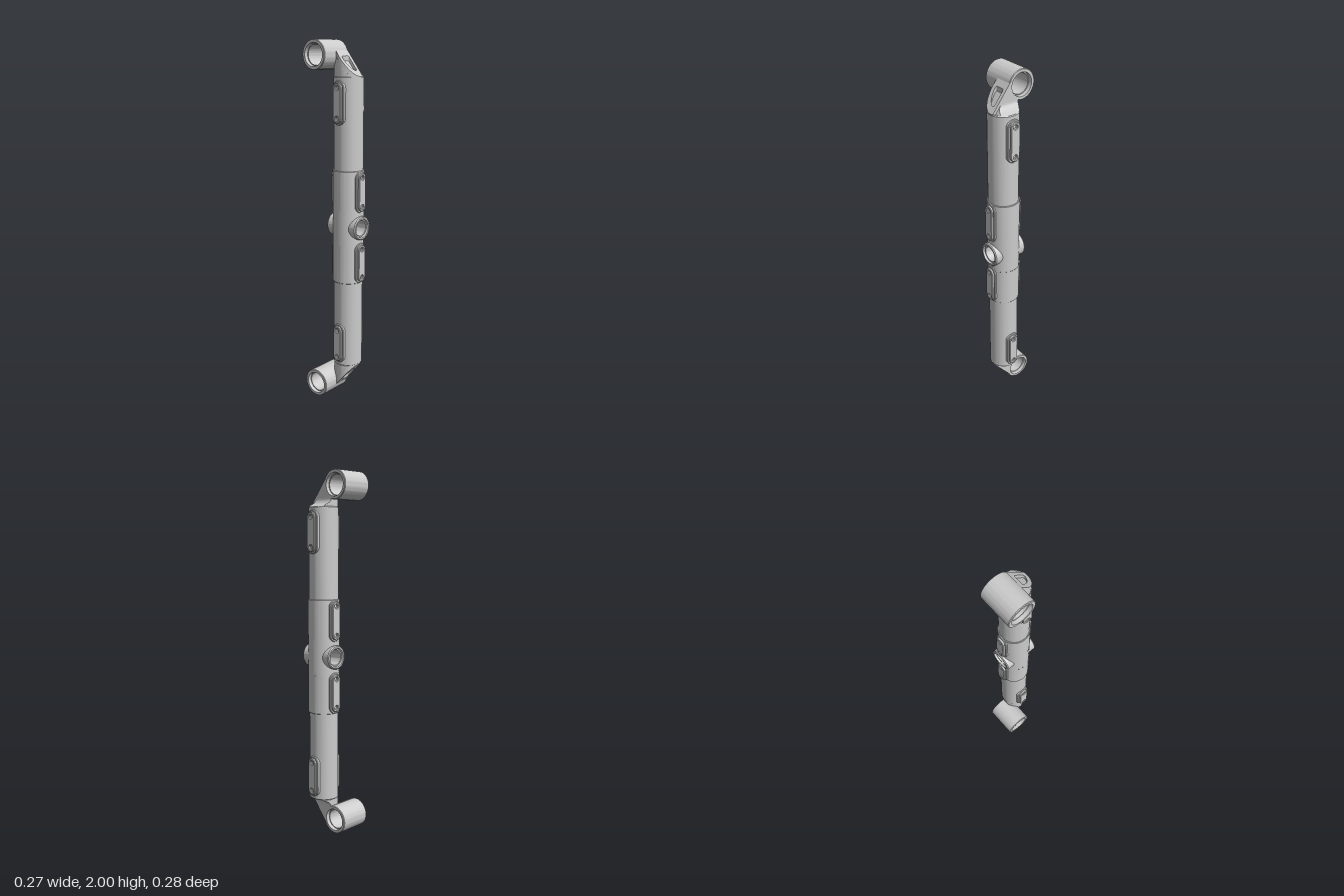
import * as THREE from 'three';
import { toCreasedNormals } from 'three/addons/utils/BufferGeometryUtils.js';

const material = new THREE.MeshStandardMaterial({ color: 0xcccccc });
const R = 0.08;        // main tube radius
const SLEEVE = 0.086;  // centre sleeve radius
const TOP = 1.81;      // upper end of the tube
const EYE = { y: 1.922, z: -0.1, r: 0.078 };
const slope = z => TOP + (R - z) * 1.27; // height of the slanted strut face

function add(parent, name, geometry) {
  const mesh = new THREE.Mesh(geometry, material);
  mesh.name = name;
  parent.add(mesh);
  return mesh;
}

// Revolve [radius, height] pairs, keeping edges sharp
function lathe(points, segments = 64) {
  const g = new THREE.LatheGeometry(points.map(p => new THREE.Vector2(...p)), segments);
  return toCreasedNormals(g, 0.5);
}

// Rounded slot outline, standing upright
function slot(halfWidth, halfHeight) {
  const s = new THREE.Shape(), h = halfHeight - halfWidth;
  s.absarc(0, h, halfWidth, 0, Math.PI, false);
  s.absarc(0, -h, halfWidth, Math.PI, Math.PI * 2, false);
  s.closePath();
  return s;
}

// Mounting pad facing +z, with two countersunk screw holes
function pad(name) {
  const g = new THREE.Group();
  g.name = name;
  const base = new THREE.ExtrudeGeometry(slot(0.035, 0.112), {
    depth: 0.03, bevelThickness: 0.003, bevelSize: 0.003, bevelSegments: 1, curveSegments: 12 });
  add(g, 'padBase', toCreasedNormals(base, 0.5)).position.z = 0.055;
  const face = slot(0.025, 0.102);
  for (const y of [-0.08, 0.08]) {
    face.holes.push(new THREE.Path().absarc(0, y, 0.015, 0, Math.PI * 2, true));
    const ring = add(g, 'screwSeat', lathe([[0.015, 0], [0.015, 0.01], [0.009, 0.004], [0.009, 0]], 24));
    ring.rotation.x = Math.PI / 2;
    ring.position.set(0, y, 0.087);
  }
  const top = new THREE.ExtrudeGeometry(face, {
    depth: 0.01, bevelThickness: 0.003, bevelSize: 0.003, bevelSegments: 1, curveSegments: 12 });
  add(g, 'padFace', toCreasedNormals(top, 0.5)).position.z = 0.087;
  return g;
}

// Half of the sleeve wall around the cross bore: circle blended to a rectangle, wrapped on the tube
function boredWall(halfHeight, hole) {
  const N = 64, M = 8, pos = [], nor = [], idx = [];
  for (let i = 0; i <= N; i++) {
    const a = i / N * Math.PI * 2, c = Math.cos(a), s = Math.sin(a);
    const k = 1 / Math.max(Math.abs(c), Math.abs(s));
    for (let j = 0; j <= M; j++) {
      const t = j / M;
      const th = THREE.MathUtils.lerp(Math.asin(hole * c / SLEEVE), Math.PI / 2 * c * k, t);
      const y = THREE.MathUtils.lerp(hole * s, halfHeight * s * k, t);
      pos.push(Math.sin(th) * SLEEVE, y, Math.cos(th) * SLEEVE);
      nor.push(Math.sin(th), 0, Math.cos(th));
      if (i < N && j < M) {
        const p = i * (M + 1) + j, q = p + M + 1;
        idx.push(p, p + 1, q + 1, p, q + 1, q);
      }
    }
  }
  const g = new THREE.BufferGeometry();
  g.setAttribute('position', new THREE.Float32BufferAttribute(pos, 3));
  g.setAttribute('normal', new THREE.Float32BufferAttribute(nor, 3));
  g.setIndex(idx);
  return g;
}

// Strut core: the tube carried upward, cut by the slope, the side web and the eye
function strutCore() {
  const h = 0.14;
  const g = new THREE.CylinderGeometry(0.079, 0.079, h, 64, 20);
  g.translate(0, TOP + h / 2, 0);
  const p = g.attributes.position;
  for (let i = 0; i < p.count; i++) {
    const y = p.getY(i), t = Math.min(1, (y - TOP) / 0.045);
    const xMax = 0.02 + 0.05 * (1 - t) ** 3;
    const zMax = R - (y - TOP) / 1.27 - 0.02;
    const d = 0.07 ** 2 - (y - EYE.y) ** 2;
    const zMin = d > 0 ? EYE.z + Math.sqrt(d) : -0.076;
    p.setX(i, Math.min(p.getX(i), xMax));
    p.setZ(i, Math.max(Math.min(p.getZ(i), zMax), zMin, -0.076));
  }
  return toCreasedNormals(g, 0.5);
}

// Slanted strut face with a pocket, extruded in plan and sheared onto the slope
function strutFace() {
  const s = new THREE.Shape();
  s.absarc(0, 0, 0.079, 1.315, Math.PI + 0.445, false);
  s.lineTo(0.02, -0.034);
  s.closePath();
  const pocket = new THREE.Path();
  pocket.moveTo(-0.008, -0.003);
  pocket.quadraticCurveTo(0, -0.003, 0, 0.006);
  pocket.lineTo(0, 0.046);
  pocket.quadraticCurveTo(0, 0.058, -0.012, 0.056);
  pocket.quadraticCurveTo(-0.048, 0.046, -0.057, 0.008);
  pocket.quadraticCurveTo(-0.058, -0.003, -0.048, -0.003);
  pocket.closePath();
  s.holes.push(pocket);
  const g = new THREE.ExtrudeGeometry(s, { depth: 0.03, bevelEnabled: false, curveSegments: 32 });
  const p = g.attributes.position;
  for (let i = 0; i < p.count; i++) {
    const z = p.getY(i);
    p.setXYZ(i, p.getX(i), slope(z) - p.getZ(i), z);
  }
  return toCreasedNormals(g, 0.5);
}

// Upper half of the link
function halfLink(name) {
  const half = new THREE.Group();
  half.name = name;

  add(half, 'tube', lathe([[R, 1.3], [R, TOP - 0.004], [R - 0.004, TOP], [0, TOP]]));
  add(half, 'sleeve', lathe([[SLEEVE, 1.1], [SLEEVE, 1.313], [SLEEVE - 0.002, 1.315], [R - 0.005, 1.315]]));

  add(half, 'strut', strutCore());
  add(half, 'strutFace', strutFace());

  // Eye with a stepped bore
  const L = 0.093, r = EYE.r;
  const eye = add(half, 'eye', lathe([
    [r - 0.003, -L], [r, 0.003 - L], [r, L - 0.003], [r - 0.003, L], [0.061, L], [0.059, L - 0.02],
    [0.054, L - 0.02], [0.054, 0.02 - L], [0.059, 0.02 - L], [0.061, -L], [r - 0.003, -L]]));
  eye.rotation.z = Math.PI / 2;
  eye.position.set(-0.073, EYE.y, EYE.z);

  // Side pads near the end, front and back pads on the sleeve
  for (const side of [1, -1]) {
    const sidePad = pad('sidePad');
    sidePad.rotation.y = side * Math.PI / 2;
    sidePad.position.y = 1.675;
    const sleevePad = pad('sleevePad');
    sleevePad.rotation.y = side > 0 ? 0 : Math.PI;
    sleevePad.position.y = 1.2;
    half.add(sidePad, sleevePad);
  }
  return half;
}

export function createModel() {
  const model = new THREE.Group();
  model.name = 'linkRod';
  const rod = new THREE.Group();
  rod.name = 'rod';
  rod.position.set(0.033, 0, 0.038);
  model.add(rod);

  // Lower half mirrors the upper about y = 1
  const lower = halfLink('lowerHalf');
  lower.scale.y = -1;
  lower.position.y = 2;
  rod.add(halfLink('upperHalf'), lower);

  // Bored middle of the sleeve
  for (const turn of [0, Math.PI]) {
    const wall = add(rod, 'boredSleeve', boredWall(0.1, 0.053));
    wall.position.y = 1;
    wall.rotation.y = turn;
  }

  // Cross boss with a through bore
  const B = 0.1;
  const boss = add(rod, 'crossBoss', lathe([
    [0.061, -B], [0.066, 0.005 - B], [0.066, B - 0.005], [0.061, B], [0.052, B], [0.05, B - 0.012],
    [0.043, B - 0.012], [0.043, 0.012 - B], [0.05, 0.012 - B], [0.052, -B], [0.061, -B]]));
  boss.rotation.x = Math.PI / 2;
  boss.position.y = 1;
  return model;
}
